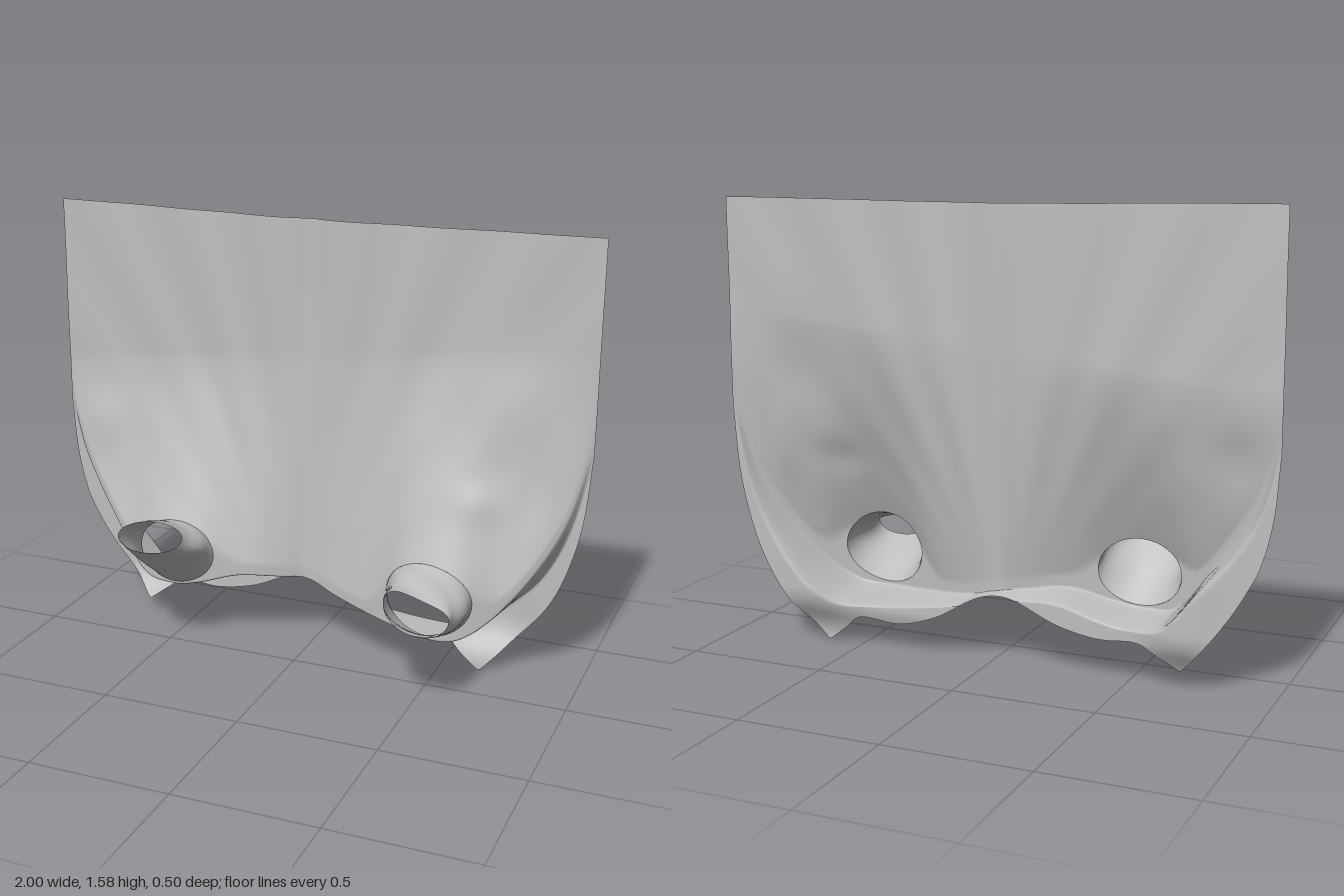
import * as THREE from 'three';

const { lerp, smoothstep, clamp } = THREE.MathUtils;
const BACK = -0.213;

// Smooth curve through a list of [x, value] points
function along(points, x) {
  const n = points.length;
  let i = 0;
  while (i < n - 2 && x > points[i + 1][0]) i++;
  const [x0, a] = points[i], [x1, b] = points[i + 1];
  const slope = (j) => {
    const p = points[Math.max(j - 1, 0)], q = points[Math.min(j + 1, n - 1)];
    return (q[1] - p[1]) / (q[0] - p[0]);
  };
  const h = x1 - x0, t = clamp((x - x0) / h, 0, 1), t2 = t * t, t3 = t2 * t;
  return a * (2 * t3 - 3 * t2 + 1) + b * (3 * t2 - 2 * t3)
    + h * slope(i) * (t3 - 2 * t2 + t) + h * slope(i + 1) * (t3 - t2);
}

// Lower outline: two curved sides meeting the hem at hanging corners
const RIGHT_TIP = -0.68, LEFT_TIP = 0.64;
const RIGHT_SIDE = [[-1, 0.82], [-0.985, 0.63], [-0.95, 0.47], [-0.9, 0.36], [-0.84, 0.26], [-0.77, 0.165], [RIGHT_TIP, 0.06]];
const LEFT_SIDE = [[LEFT_TIP, 0], [0.74, 0.11], [0.83, 0.215], [0.89, 0.31], [0.94, 0.44], [0.98, 0.62], [1, 0.85]];
const HEM = [[RIGHT_TIP, 0.06], [-0.61, 0.11], [-0.545, 0.15], [-0.4, 0.145], [-0.25, 0.175], [-0.1, 0.24],
  [-0.03, 0.25], [0.05, 0.23], [0.2, 0.145], [0.35, 0.1], [0.5, 0.108], [0.57, 0.055], [LEFT_TIP, 0]];
// Height of the crease under the bulges
const FOLD = [[-1, 0.88], [-0.94, 0.68], [-0.86, 0.54], [-0.75, 0.39], [-0.63, 0.24], [-0.5, 0.215],
  [-0.4, 0.23], [-0.25, 0.27], [-0.1, 0.265], [-0.03, 0.26], [0.1, 0.225], [0.25, 0.2],
  [0.45, 0.18], [0.58, 0.18], [0.66, 0.22], [0.75, 0.31], [0.86, 0.47], [0.94, 0.65], [1, 0.9]];
// How far the cloth bulges forward
const BULGE = [[-1, 0], [-0.9, 0.05], [-0.75, 0.115], [-0.6, 0.165], [-0.48, 0.178], [-0.35, 0.16], [-0.2, 0.12],
  [-0.1, 0.075], [-0.02, 0.042], [0.1, 0.075], [0.3, 0.15], [0.45, 0.2], [0.55, 0.212], [0.66, 0.185],
  [0.8, 0.115], [0.9, 0.055], [1, 0]];
// Soft dents and swellings: x, y, width, height, depth
const DENTS = [[0.68, 1.0, 0.13, 0.17, 0.016], [-0.84, 0.78, 0.1, 0.1, 0.012], [0.62, 0.66, 0.08, 0.06, 0.01],
  [0.82, 0.72, 0.05, 0.14, -0.01]];

// Armholes: root ellipse, and the tilted mouth of the sleeve with its sagging upper rim
const SLEEVES = [
  { name: 'rightSleeve', cx: -0.49, cy: 0.342, rx: 0.148, ry: 0.118,
    mouth: { x: -0.5, y: 0.46, z: 0.14, rx: 0.125, ry: 0.036, tilt: 0, lean: 0.06, sag: 0 } },
  { name: 'leftSleeve', cx: 0.49, cy: 0.32, rx: 0.16, ry: 0.13,
    mouth: { x: 0.525, y: 0.375, z: 0.21, rx: 0.115, ry: 0.07, tilt: -0.3, lean: 0.038, sag: 0.045 } },
];

function hemAt(x) {
  if (x < RIGHT_TIP) return along(RIGHT_SIDE, x);
  return along(x > LEFT_TIP ? LEFT_SIDE : HEM, x);
}

// Crease height, and the height of the turned-under step below it (softer at the sides)
function creaseAt(x) {
  const hem = hemAt(x), fold = Math.max(along(FOLD, x), hem + 0.008);
  const step = lerp(0.025, 0.08, smoothstep(Math.abs(x), 0.65, 0.9));
  return { hem, fold, low: Math.max(hem, fold - step) };
}

// Depth of the cloth at any point
function depth(x, y) {
  const { fold, low } = creaseAt(x);
  // the bulge fills out above each sleeve, and at the crease elsewhere
  const nearSleeve = Math.exp(-(((Math.abs(x) - 0.5) / 0.2) ** 4));
  const full = lerp(fold + 0.04, 0.42, nearSleeve), start = 1.1 + 0.1 * x;
  const rise = clamp((start - y) / (start - full), 0, 1);
  const drop = smoothstep(y, low, fold);
  let z = Math.max(0, along(BULGE, x)) * Math.pow(rise, 1.45) * drop;
  for (const [dx, dy, w, h, d] of DENTS) {
    z += d * drop * Math.exp(-(((x - dx) / w) ** 2) - ((y - dy) / h) ** 2);
  }
  // pleats fanning out from the middle of the hem, with one ridge along the centre
  const a = Math.atan2(x + 0.03, y - 0.1), r = Math.hypot(x + 0.03, y - 0.1);
  z -= 0.005 * Math.cos(a * 30) * Math.exp(-((a / 0.6) ** 2)) * smoothstep(r, 0.25, 0.9);
  z -= 0.012 * Math.exp(-(((x + 0.03) / 0.05) ** 2)) * smoothstep(y, 0.9, 1.4);
  // the turned-under strip swells backwards at both sides and its corners swing forward
  const side = Math.exp(-(((Math.abs(x) - 0.69) / 0.14) ** 2));
  z -= 0.035 * side * (1 - drop) * smoothstep(y, 0.06, 0.2);
  z += 0.032 * (1 - drop) * (1 - smoothstep(y, 0.02, 0.15));
  return BACK - 0.005 * x + z;
}

function buildGeometry(positions, index) {
  const g = new THREE.BufferGeometry();
  g.setAttribute('position', new THREE.Float32BufferAttribute(positions, 3));
  g.setIndex(index);
  g.computeVertexNormals();
  return g;
}

// Main sheet: columns of points from the hem up to the straight top edge
function sheetGeometry() {
  const cols = 220, flapRows = 10, dropRows = 10, upperRows = 90;
  const rows = flapRows + dropRows + upperRows;
  const pos = [], index = [], inside = [];
  for (let i = 0; i <= cols; i++) {
    const x = Math.sin((i / cols - 0.5) * Math.PI);
    const { hem, fold, low } = creaseAt(x);
    const top = 1.577 + 0.012 * smoothstep(Math.abs(x), 0, 1) * (x < 0 ? 1 : 0.5);
    for (let j = 0; j <= rows; j++) {
      let y;
      if (j <= flapRows) y = lerp(hem, low, j / flapRows);
      else if (j <= flapRows + dropRows) y = lerp(low, fold, (j - flapRows) / dropRows);
      else y = lerp(fold, top, ((j - flapRows - dropRows) / upperRows) ** 1.2);
      let px = x, hole = false;
      for (const s of SLEEVES) {
        // points inside an armhole move out to its rim
        const ex = (x - s.cx) / s.rx, ey = (y - s.cy) / s.ry, r = Math.hypot(ex, ey);
        if (r < 1) {
          hole = true;
          px = s.cx + (ex / (r || 1)) * s.rx;
          y = s.cy + (ey / (r || 1)) * s.ry;
        }
      }
      pos.push(px, y, depth(px, y));
      inside.push(hole);
    }
  }
  for (let i = 0; i < cols; i++) {
    for (let j = 0; j < rows; j++) {
      const a = i * (rows + 1) + j, b = a + rows + 1;
      if (inside[a] && inside[b] && inside[a + 1] && inside[b + 1]) continue;
      index.push(a, b, b + 1, a, b + 1, a + 1);
    }
  }
  return buildGeometry(pos, index);
}

// Sleeve: rings running from the armhole to the tilted open mouth
function sleeveGeometry({ cx, cy, rx, ry, mouth: m }) {
  const around = 64, rings = 16, pos = [], index = [];
  for (let k = 0; k <= rings; k++) {
    const t = k / rings;
    for (let i = 0; i <= around; i++) {
      const a = (i / around) * Math.PI * 2, c = Math.cos(a), s = Math.sin(a);
      const x0 = cx + rx * c, y0 = cy + ry * s;
      const mx = m.rx * c, my = m.ry * s - m.sag * Math.max(0, s) ** 2;
      const x1 = m.x + mx * Math.cos(m.tilt) - my * Math.sin(m.tilt);
      const y1 = m.y + mx * Math.sin(m.tilt) + my * Math.cos(m.tilt);
      // soft crumples in the middle of the sleeve
      const crumple = 1 + 0.06 * Math.sin(t * Math.PI) * Math.sin(a * 3 + t * 4 + cx);
      const px = lerp(x0, x1, t), py = lerp(y0, y1, t);
      const ax = lerp(cx, m.x, t), ay = lerp(cy, m.y, t);
      pos.push(ax + (px - ax) * crumple, ay + (py - ay) * crumple,
        lerp(depth(x0, y0), m.z - m.lean * s, t));
    }
  }
  for (let k = 0; k < rings; k++) {
    for (let i = 0; i < around; i++) {
      const a = k * (around + 1) + i, b = a + around + 1;
      index.push(a, a + 1, b + 1, a, b + 1, b);
    }
  }
  return buildGeometry(pos, index);
}

export function createModel() {
  const group = new THREE.Group();
  group.name = 'drapedCloth';
  const cloth = new THREE.MeshStandardMaterial({ color: 0xbfbfbf, side: THREE.DoubleSide });
  cloth.name = 'grey cloth';

  const add = (name, geometry) => {
    const mesh = new THREE.Mesh(geometry, cloth);
    mesh.name = name;
    group.add(mesh);
  };
  add('clothSheet', sheetGeometry());
  for (const s of SLEEVES) add(s.name, sleeveGeometry(s));
  return group;
}
